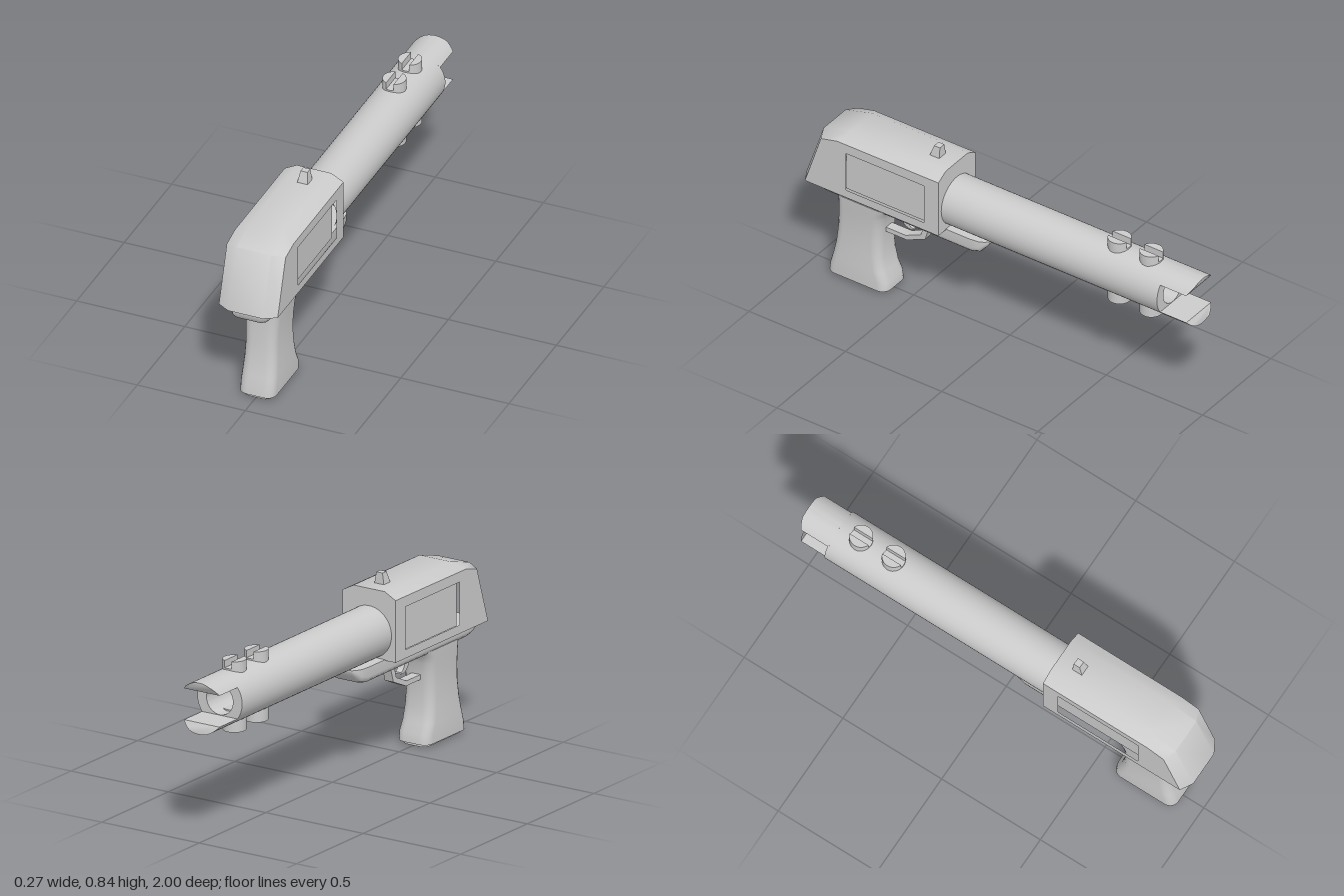
import * as THREE from 'three';
import { toCreasedNormals } from 'three/addons/utils/BufferGeometryUtils.js';

const material = new THREE.MeshStandardMaterial({ color: 0xcccccc });
const R = 0.115, AXIS_Y = 0.598; // barrel radius and height

function add(group, name, geometry, crease = 0.6) {
  const mesh = new THREE.Mesh(toCreasedNormals(geometry, crease), material);
  mesh.name = name;
  group.add(mesh);
  return mesh;
}

// Skin closed loops of [u, v] points placed at increasing t along an axis.
function loft(axis, sections, caps = true) {
  const place = {
    x: (t, u, v) => [t, u, v],
    y: (t, u, v) => [v, t, u],
    z: (t, u, v) => [u, v, t],
  }[axis];
  const n = sections[0].pts.length, pos = [], idx = [];
  for (const s of sections) for (const [u, v] of s.pts) pos.push(...place(s.t, u, v));
  for (let s = 0; s < sections.length - 1; s++) {
    for (let i = 0; i < n; i++) {
      const j = (i + 1) % n, a = s * n + i, b = s * n + j;
      idx.push(a, b, b + n, a, b + n, a + n);
    }
  }
  if (caps) {
    const last = (sections.length - 1) * n;
    for (let i = 1; i < n - 1; i++) idx.push(0, i + 1, i, last, last + i, last + i + 1);
  }
  const g = new THREE.BufferGeometry();
  g.setAttribute('position', new THREE.Float32BufferAttribute(pos, 3));
  g.setIndex(idx);
  g.computeVertexNormals();
  return g;
}

// Extrude a (z, y) side outline across x, centred on cx.
function sidePart(shape, width, cx = 0) {
  const g = new THREE.ExtrudeGeometry(shape, { depth: width, bevelEnabled: false, curveSegments: 10 });
  return g.translate(0, 0, -width / 2).rotateY(-Math.PI / 2).translate(cx, 0, 0);
}

const polygon = (pts) => new THREE.Shape(pts.map(([a, b]) => new THREE.Vector2(a, b)));

// Rounded rectangle loop, centred on u = c.
function roundedLoop(c, hu, hv, r) {
  const pts = [];
  [[1, 1], [-1, 1], [-1, -1], [1, -1]].forEach(([su, sv], q) => {
    for (let k = 0; k <= 5; k++) {
      const a = (q + k / 5) * Math.PI / 2;
      pts.push([c + su * (hu - r) + r * Math.cos(a), sv * (hv - r) + r * Math.sin(a)]);
    }
  });
  return pts;
}

function buildReceiver(group) {
  // Outlines as [y, z]: full size in the middle, inset on the flanks
  const full = [[0.483, 0.275], [0.79, 0.275], [0.79, 0.77], [0.75, 0.91], [0.483, 1]];
  const inset = [[0.483, 0.275], [0.76, 0.275], [0.758, 0.8], [0.737, 0.885], [0.483, 0.968]];
  add(group, 'receiverShell', loft('x', [
    { t: -0.136, pts: inset }, { t: -0.08, pts: full },
    { t: 0.08, pts: full }, { t: 0.136, pts: inset },
  ], false), 1);
  // Flanks with a rectangular window, and the panel behind it
  for (const s of [-1, 1]) {
    const flank = polygon(inset.map(([y, z]) => [z, y]));
    flank.holes.push(polygon([[0.35, 0.522], [0.35, 0.713], [0.755, 0.713], [0.755, 0.522]]));
    add(group, 'receiverFlank', sidePart(flank, 0.03, s * 0.121));
    add(group, 'recessPanel', new THREE.BoxGeometry(0.02, 0.22, 0.44).translate(s * 0.098, 0.6175, 0.5525));
  }
  // Sight post, narrower at the top
  const rect = (z0, z1, w) => [[z0, -w], [z1, -w], [z1, w], [z0, w]];
  add(group, 'sight', loft('y', [
    { t: 0.785, pts: rect(0.35, 0.4, 0.025) }, { t: 0.84, pts: rect(0.352, 0.382, 0.016) },
  ]));
}

function buildBarrel(group) {
  const profile = [[R, -0.3], [R, 0.845], [0.068, 0.845], [0.068, 0.4], [0, 0.4]];
  add(group, 'barrel', new THREE.LatheGeometry(profile.map(([r, h]) => new THREE.Vector2(r, h)), 48)
    .rotateX(-Math.PI / 2).translate(0, AXIS_Y, 0));

  // Two solid prongs at the muzzle with slanted tips
  for (const turn of [0, Math.PI]) {
    const a = Math.asin(0.07 / R);
    const segment = new THREE.Shape().absarc(0, 0, R, a, Math.PI - a, false);
    const g = new THREE.ExtrudeGeometry(segment, { depth: 0.16, bevelEnabled: false, curveSegments: 24 });
    const p = g.attributes.position;
    for (let i = 0; i < p.count; i++) {
      if (p.getZ(i) < 0.01) p.setZ(i, 0.02 * THREE.MathUtils.clamp((0.104 - p.getY(i)) / 0.034, 0, 1));
    }
    add(group, 'muzzleProng', g.rotateZ(turn).translate(0, AXIS_Y, -1));
  }

  // Pegs: slotted above, plain below
  const r = 0.051, slot = 0.017, b = Math.acos(slot / r);
  for (const z of [-0.57, -0.735]) {
    add(group, 'lowerPeg', new THREE.CylinderGeometry(r, r, 0.1, 28).translate(0, 0.487, z));
    add(group, 'upperPegBase', new THREE.CylinderGeometry(r, r, 0.07, 28).translate(0, 0.685, z));
    for (const turn of [0, Math.PI]) {
      const lug = new THREE.Shape().absarc(0, 0, r, -b, b, false);
      add(group, 'upperPegLug', new THREE.ExtrudeGeometry(lug, { depth: 0.034, bevelEnabled: false, curveSegments: 14 })
        .rotateX(-Math.PI / 2).rotateY(turn).translate(0, 0.718, z));
    }
  }
}

function buildFrame(group) {
  // Rail under the receiver: z, half width, underside
  const top = 0.487;
  const rail = [[0.07, 0.05, 0.478], [0.085, 0.065, 0.455], [0.11, 0.077, 0.425], [0.15, 0.082, 0.415],
    [0.9, 0.082, 0.415], [0.935, 0.082, 0.421], [0.965, 0.079, 0.435], [0.978, 0.072, 0.453]];
  add(group, 'frameRail', loft('z', rail.map(([t, w, y]) => {
    const r = Math.min(0.028, (top - y) * 0.6);
    const corner = [[w - r, y], [w - r * 0.5, y + r * 0.13], [w - r * 0.13, y + r * 0.5], [w, y + r]];
    const left = corner.map(([x, v]) => [-x, v]).reverse();
    return { t, pts: [...left, ...corner, [w, top], [-w, top]] };
  })), 0.8);

  // Grip: y, rear-most z, front-most z, half width
  const grip = [[0.014, 0.59, 0.898, 0.082], [0.055, 0.594, 0.893, 0.082], [0.1, 0.615, 0.881, 0.08],
    [0.17, 0.628, 0.867, 0.076], [0.25, 0.632, 0.859, 0.073], [0.32, 0.627, 0.855, 0.075],
    [0.37, 0.62, 0.853, 0.078], [0.4, 0.608, 0.853, 0.08], [0.43, 0.585, 0.856, 0.081]];
  add(group, 'grip', loft('y', grip.map(([t, z0, z1, w]) => (
    { t, pts: roundedLoop((z0 + z1) / 2, (z1 - z0) / 2, w, 0.042) }))), 0.8);
  const plate = roundedLoop(0.746, 0.14, 0.063, 0.032);
  add(group, 'gripBasePlate', loft('y', [{ t: 0, pts: plate }, { t: 0.02, pts: plate }]));

  // Trigger guard and trigger
  add(group, 'triggerGuard', sidePart(polygon([[0.64, 0.292], [0.52, 0.292], [0.425, 0.335], [0.397, 0.425],
    [0.425, 0.425], [0.447, 0.35], [0.525, 0.314], [0.64, 0.314]]), 0.044));
  const trigger = new THREE.Shape();
  trigger.moveTo(0.56, 0.425);
  trigger.quadraticCurveTo(0.555, 0.345, 0.492, 0.35);
  trigger.lineTo(0.492, 0.358);
  trigger.quadraticCurveTo(0.525, 0.365, 0.522, 0.425);
  add(group, 'trigger', sidePart(trigger, 0.03));
}

export function createModel() {
  const group = new THREE.Group();
  group.name = 'toyBlaster';
  buildReceiver(group);
  buildBarrel(group);
  buildFrame(group);
  return group;
}
